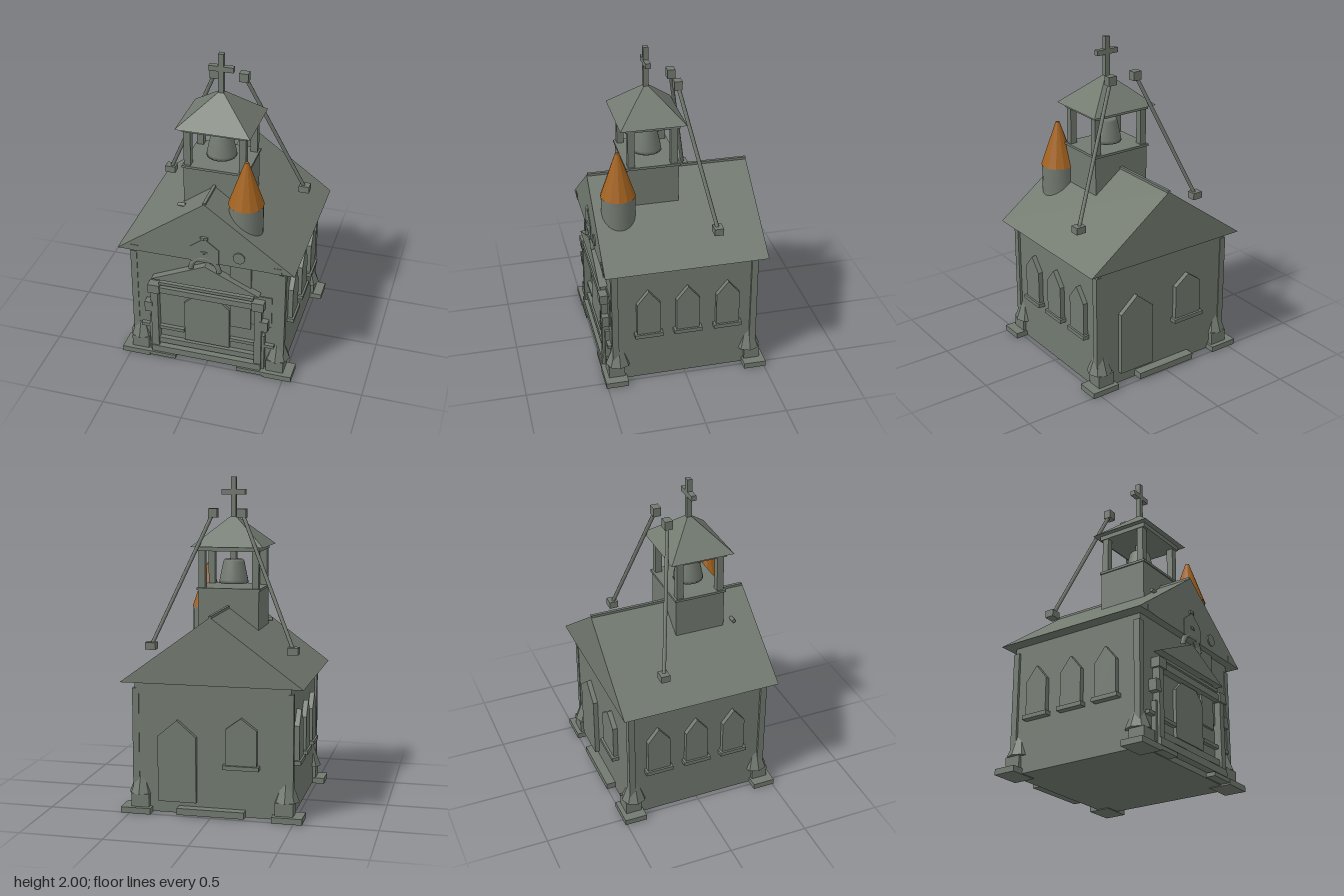
import * as THREE from 'three';

export function createModel() {
  const root = new THREE.Group();
  const stone = new THREE.MeshStandardMaterial({ color: 0x727a70 });
  stone.name = 'grey stone';
  const copper = new THREE.MeshStandardMaterial({ color: 0xa3621f });
  copper.name = 'orange tile';

  const add = (name, geo, x = 0, y = 0, z = 0, mat = stone) => {
    const m = new THREE.Mesh(geo, mat);
    m.name = name;
    m.position.set(x, y, z);
    root.add(m);
    return m;
  };
  // box given by its limits
  const box = (name, x0, x1, y0, y1, z0, z1) =>
    add(name, new THREE.BoxGeometry(x1 - x0, y1 - y0, z1 - z0), (x0 + x1) / 2, (y0 + y1) / 2, (z0 + z1) / 2);
  // box and its mirror across x = 0
  const pair = (name, x0, x1, ...r) => {
    box(name, x0, x1, ...r);
    box(name, -x1, -x0, ...r);
  };
  const flat = (g) => {
    const f = g.toNonIndexed();
    f.computeVertexNormals();
    return f;
  };
  const prism = (pts, depth) =>
    new THREE.ExtrudeGeometry(new THREE.Shape(pts.map(([x, y]) => new THREE.Vector2(x, y))), { depth, bevelEnabled: false });
  const pointed = (w, h, shoulder, depth) =>
    prism([[-w / 2, 0], [w / 2, 0], [w / 2, shoulder], [0, h], [-w / 2, shoulder]], depth);
  const rod = (name, a, b, r) => {
    const d = b.clone().sub(a);
    const m = add(name, new THREE.CylinderGeometry(r, r, d.length(), 8));
    m.position.copy(a).add(b).multiplyScalar(0.5);
    m.quaternion.setFromUnitVectors(new THREE.Vector3(0, 1, 0), d.normalize());
  };

  // main body and gabled roof
  box('walls', -0.475, 0.475, 0.005, 0.8, -0.45, 0.45);
  add('roof', prism([[-0.553, 0.8], [0.553, 0.8], [0, 1.205]], 1), 0, 0, -0.5);
  box('ridge', -0.009, 0.009, 1.19, 1.213, -0.5, 0.495);
  pair('eaveBlock', 0.42, 0.475, 0.8, 0.84, 0.49, 0.503);

  // corner feet, pedestals, pinnacles and posts
  for (const sx of [-1, 1]) for (const sz of [-1, 1]) {
    add('foot', new THREE.BoxGeometry(0.183, 0.036, 0.14), sx * 0.461, 0.018, sz * 0.44);
    add('pedestal', new THREE.BoxGeometry(0.11, 0.08, 0.1), sx * 0.44, 0.075, sz * 0.432);
    add('pinnacle', flat(new THREE.CylinderGeometry(0.012, 0.078, 0.17, 8)), sx * 0.445, 0.198, sz * 0.415);
    add('cornerPost', new THREE.BoxGeometry(0.04, 0.66, 0.04), sx * 0.47, 0.43, sz * 0.435);
  }

  // side windows with sills
  for (const s of [-1, 1]) for (const z of [0.23, -0.015, -0.265]) {
    const w = add('sideWindow', pointed(0.145, 0.31, 0.22, 0.03), s * 0.475, 0.33, z);
    w.rotation.y = s * Math.PI / 2;
    add('sideSill', new THREE.BoxGeometry(0.045, 0.025, 0.175), s * 0.495, 0.328, z);
  }

  // back door, window and step
  add('backDoor', pointed(0.235, 0.5, 0.4, 0.03), 0.21, 0.08, -0.48);
  add('backWindow', pointed(0.19, 0.29, 0.22, 0.03), -0.18, 0.32, -0.48);
  box('backSill', -0.29, -0.07, 0.3, 0.325, -0.495, -0.45);
  box('backStep', -0.205, 0.205, 0.01, 0.05, -0.508, -0.45);

  // front porch frame
  pair('porchPost', 0.31, 0.355, 0.04, 0.52, 0.45, 0.495);
  pair('porchCap', 0.295, 0.37, 0.5, 0.56, 0.45, 0.506);
  pair('porchBase', 0.2, 0.37, 0.01, 0.035, 0.45, 0.508);
  pair('outerPilaster', 0.355, 0.372, 0.04, 0.3, 0.45, 0.48);
  pair('lantern', 0.345, 0.395, 0.35, 0.42, 0.45, 0.5);
  box('porchBeam', -0.36, 0.36, 0.505, 0.545, 0.45, 0.497);
  box('porchTrim', -0.3, 0.3, 0.56, 0.58, 0.45, 0.49);
  box('porchSill', -0.355, 0.355, 0.04, 0.085, 0.45, 0.502);
  box('lowerRail', -0.31, 0.31, 0.1, 0.14, 0.45, 0.48);
  pair('upperRail', 0.15, 0.43, 0.208, 0.23, 0.45, 0.475);
  add('frontDoor', prism([[-0.145, 0.15], [0.145, 0.15], [0.145, 0.44], [0.08, 0.5], [-0.08, 0.5], [-0.145, 0.44]], 0.02), 0, 0, 0.45);
  box('frontPanel', 0.19, 0.41, 0.36, 0.58, 0.445, 0.457);
  box('fluePanel', 0.15, 0.28, 0.32, 0.8, 0.445, 0.465);
  add('pediment', prism([[-0.345, 0.607], [0.34, 0.607], [0, 0.765]], 0.05), 0, 0, 0.452);

  // arch, niche and finial above the pediment
  add('arch', new THREE.TorusGeometry(0.088, 0.016, 8, 20, Math.PI), 0, 0.735, 0.492);
  add('niche', pointed(0.18, 0.17, 0.1, 0.007), 0, 0.8, 0.498);
  const finial = [[0, 0.86], [0.038, 0.86], [0.038, 0.875], [0.02, 0.88], [0.02, 0.96], [0.038, 0.963], [0.038, 0.98], [0.011, 0.985], [0.009, 1.035], [0, 1.05]];
  add('finial', flat(new THREE.LatheGeometry(finial.map(([x, y]) => new THREE.Vector2(x * 0.8, y)), 8)), 0, 0, 0.485);
  const disc = add('gableDisc', new THREE.CylinderGeometry(0.037, 0.037, 0.012, 20), 0.215, 0.87, 0.502);
  disc.rotation.x = Math.PI / 2;

  // round turret with conical cap
  add('turret', new THREE.CylinderGeometry(0.103, 0.103, 0.36, 24), 0.215, 0.98, 0.35);
  add('turretCap', flat(new THREE.CylinderGeometry(0.012, 0.108, 0.28, 13)), 0.215, 1.3, 0.35, copper);
  const spout = add('roofSpout', new THREE.CylinderGeometry(0.012, 0.012, 0.045, 8), -0.185, 1.085, 0.352);
  spout.rotation.z = Math.PI / 2;

  // bell tower
  const tz = 0.13;
  box('towerBase', -0.192, 0.192, 1.0, 1.31, tz - 0.157, tz + 0.157);
  box('towerLedge', -0.2, 0.2, 1.305, 1.32, tz - 0.165, tz + 0.165);
  for (const z of [tz - 0.13, tz + 0.13]) pair('towerColumn', 0.148, 0.19, 1.32, 1.55, z - 0.021, z + 0.021);
  box('towerBeam', -0.195, 0.195, 1.548, 1.576, tz - 0.165, tz + 0.165);
  const hip = flat(new THREE.ConeGeometry(Math.SQRT1_2, 0.195, 4).rotateY(Math.PI / 4).scale(0.455, 1, 0.4));
  add('towerRoof', hip, 0, 1.673, tz);
  const bell = [[0, 1.34], [0.093, 1.34], [0.09, 1.36], [0.066, 1.475], [0.058, 1.488], [0, 1.488]];
  add('bell', new THREE.LatheGeometry(bell.map(([x, y]) => new THREE.Vector2(x, y)), 20), 0, 0, tz);
  box('bellHanger', -0.018, 0.018, 1.48, 1.55, tz - 0.018, tz + 0.018);

  // cross
  box('crossUpright', -0.016, 0.016, 1.75, 2.0, tz - 0.016, tz + 0.016);
  box('crossArm', -0.075, 0.075, 1.89, 1.922, tz - 0.016, tz + 0.016);

  // slanted rods with end blocks
  for (const s of [-1, 1]) {
    rod('slantedRod', new THREE.Vector3(s * 0.443, 0.975, -0.208), new THREE.Vector3(s * 0.092, 1.782, -0.042), 0.012);
    add('rodFoot', new THREE.BoxGeometry(0.066, 0.044, 0.056), s * 0.442, 0.977, -0.208);
    add('rodHead', new THREE.BoxGeometry(0.056, 0.055, 0.048), s * 0.09, 1.783, -0.042);
  }
  return root;
}
